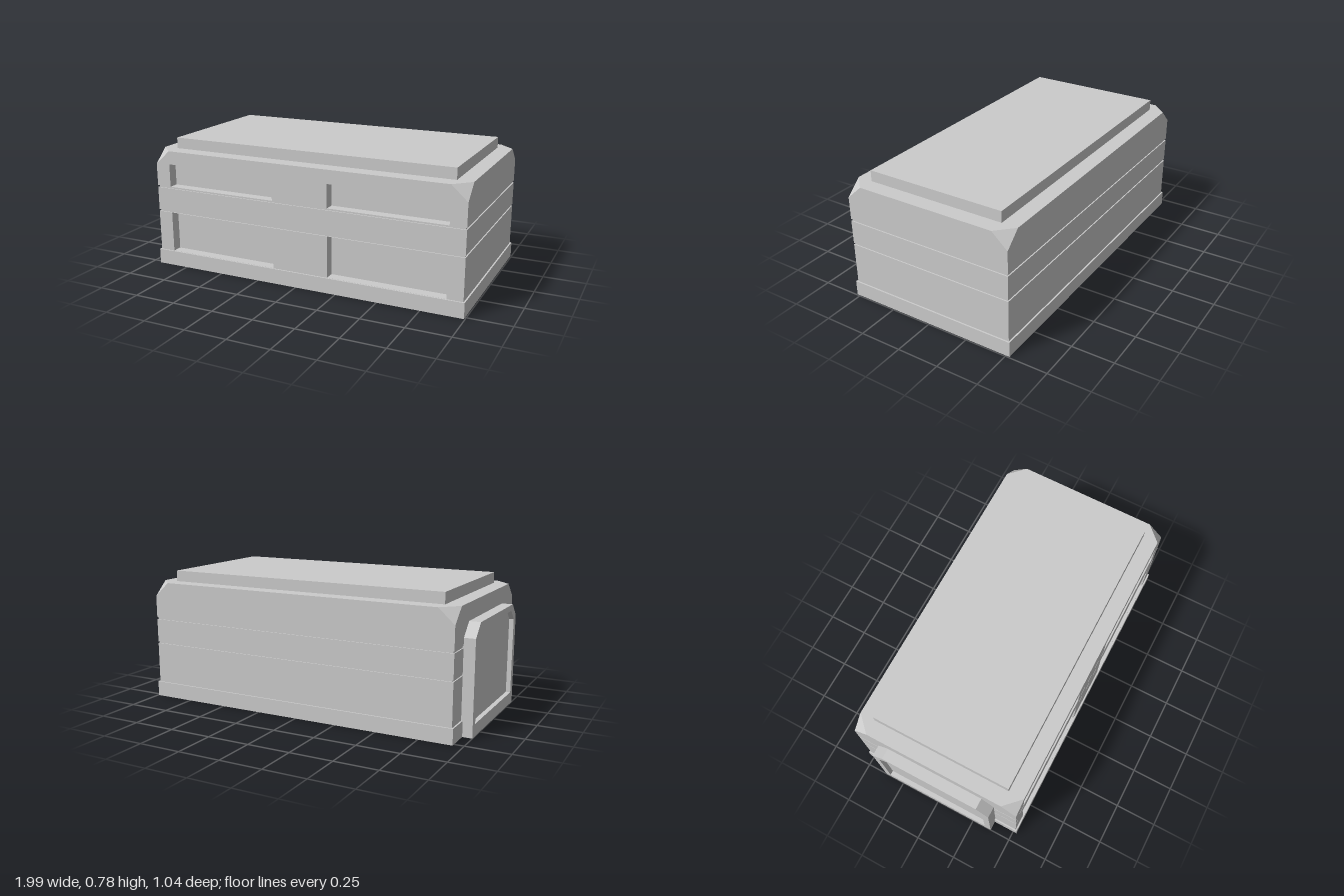
import * as THREE from 'three';

const HX = 0.96, HZ = 0.513;          // half size of the hollow body
const TOP = 0.715, CUT = 0.093, DROP = 0.085; // roof height and corner cuts
const WINDOWS = [[-0.868, -0.172], [0.172, 0.868]];

const material = new THREE.MeshStandardMaterial({
  color: 0xcccccc, flatShading: true, side: THREE.DoubleSide,
});

function add(parent, name, geometry, x = 0, y = 0, z = 0) {
  const mesh = new THREE.Mesh(geometry, material);
  mesh.name = name;
  mesh.position.set(x, y, z);
  parent.add(mesh);
  return mesh;
}

const toShape = (pts) => new THREE.Shape(pts.map(([x, y]) => new THREE.Vector2(x, y)));

function fromTriangles(pos) {
  const g = new THREE.BufferGeometry();
  g.setAttribute('position', new THREE.Float32BufferAttribute(pos, 3));
  g.computeVertexNormals();
  return g;
}

// Rectangular rings [outward offset, height] joined by flat strips
function rectLoft(rings) {
  const corners = [[1, 1], [1, -1], [-1, -1], [-1, 1]];
  const at = ([o, y], i) => {
    const [sx, sz] = corners[i % 4];
    return [sx * (HX + o), y, sz * (HZ + o)];
  };
  const pos = [];
  for (let r = 0; r < rings.length - 1; r++) {
    for (let i = 0; i < 4; i++) {
      const a = at(rings[r], i), b = at(rings[r], i + 1);
      const c = at(rings[r + 1], i + 1), d = at(rings[r + 1], i);
      pos.push(...a, ...b, ...c, ...a, ...c, ...d);
    }
  }
  return fromTriangles(pos);
}

// Box without one face (0 +x, 1 -x, 2 +y, 3 -y, 4 +z, 5 -z)
function openBox(w, h, d, missing) {
  const g = new THREE.BoxGeometry(w, h, d);
  const index = Array.from(g.index.array);
  index.splice(missing * 6, 6);
  g.setIndex(index);
  g.clearGroups();
  return g;
}

// Lower wall, with window notches open at its top edge
function lowerWall(half, windows) {
  const pts = [[-half, 0.335], [-half, 0.09], [half, 0.09], [half, 0.335]];
  for (const [a, b] of [...windows].reverse()) {
    pts.push([b, 0.335], [b, 0.091], [a, 0.091], [a, 0.335]);
  }
  return new THREE.ShapeGeometry(toShape(pts));
}

// Upper wall with cut top corners, window notches open at its bottom edge
function upperWall(half, windows) {
  const pts = [[-half, 0.497]];
  for (const [a, b] of windows) {
    pts.push([a, 0.497], [a, 0.635], [b, 0.635], [b, 0.497]);
  }
  pts.push([half, 0.497], [half, TOP - DROP], [half - CUT, TOP],
    [-half + CUT, TOP], [-half, TOP - DROP]);
  return new THREE.ShapeGeometry(toShape(pts));
}

// Door outline with cut top corners
const doorOutline = (half, bottom, top, cut) => [
  [-half, bottom], [half, bottom], [half, top - cut],
  [half - cut, top], [-half + cut, top], [-half, top - cut],
];

export function createModel() {
  const model = new THREE.Group();
  model.name = 'shelter';
  const body = new THREE.Group();
  body.name = 'body';
  body.position.x = 0.025;
  model.add(body);

  // Base skirt, and the belt between two thin grooves
  add(body, 'baseSkirt', rectLoft([[0.009, 0], [0.009, 0.09], [0, 0.09]]));
  add(body, 'belt', rectLoft([
    [0, 0.335], [-0.007, 0.335], [-0.007, 0.345], [0, 0.345],
    [0, 0.485], [-0.007, 0.485], [-0.007, 0.497], [0, 0.497],
  ]));

  // Four walls, only the front one has windows
  const sides = [
    ['front', 0, HX, HZ, WINDOWS], ['left', 1, HZ, HX, []],
    ['back', 2, HX, HZ, []], ['right', 3, HZ, HX, []],
  ];
  for (const [name, turn, half, distance, windows] of sides) {
    const wall = new THREE.Group();
    wall.name = name + 'Wall';
    wall.rotation.y = turn * Math.PI / 2;
    body.add(wall);
    add(wall, name + 'LowerWall', lowerWall(half, windows), 0, 0, distance);
    add(wall, name + 'UpperWall', upperWall(half, windows), 0, 0, distance);
  }

  // Window recesses
  const depth = 0.06;
  for (const [a, b] of WINDOWS) {
    for (const [y0, y1] of [[0.091, 0.335], [0.497, 0.635]]) {
      add(body, 'windowRecess', openBox(b - a, y1 - y0, depth, 4),
        (a + b) / 2, (y0 + y1) / 2, HZ - depth / 2);
    }
  }

  // Roof, its four cut corners and the raised lid
  const roof = [];
  const cuts = [];
  for (const [sx, sz] of [[1, 1], [-1, 1], [-1, -1], [1, -1]]) {
    const along = [sx * (HX - CUT), sz * HZ], across = [sx * HX, sz * (HZ - CUT)];
    roof.push(...(sx * sz > 0 ? [across, along] : [along, across]));
    const p = [sx * HX, TOP - DROP, sz * HZ];
    const q = [across[0], TOP, across[1]], r = [along[0], TOP, along[1]];
    cuts.push(...p, ...(sx * sz > 0 ? [...q, ...r] : [...r, ...q]));
  }
  add(body, 'roof', new THREE.ShapeGeometry(toShape(roof)).rotateX(-Math.PI / 2), 0, TOP, 0);
  add(body, 'roofCorners', fromTriangles(cuts));
  add(body, 'roofLid', openBox(1.738, 0.065, 0.84, 3), 0, TOP + 0.0325, 0);

  // Door frame with a recessed panel on the right end
  const inner = doorOutline(0.333, 0.07, 0.58, 0.06);
  const frame = toShape(doorOutline(0.373, 0, 0.615, 0.075));
  frame.holes.push(toShape(inner));
  const frameGeometry = new THREE.ExtrudeGeometry(frame, { depth: 0.075, bevelEnabled: false });
  add(model, 'doorFrame', frameGeometry.rotateY(-Math.PI / 2), -0.925, 0, 0);
  add(model, 'doorPanel', new THREE.ShapeGeometry(toShape(inner)).rotateY(-Math.PI / 2), -0.973, 0, 0);

  return model;
}
